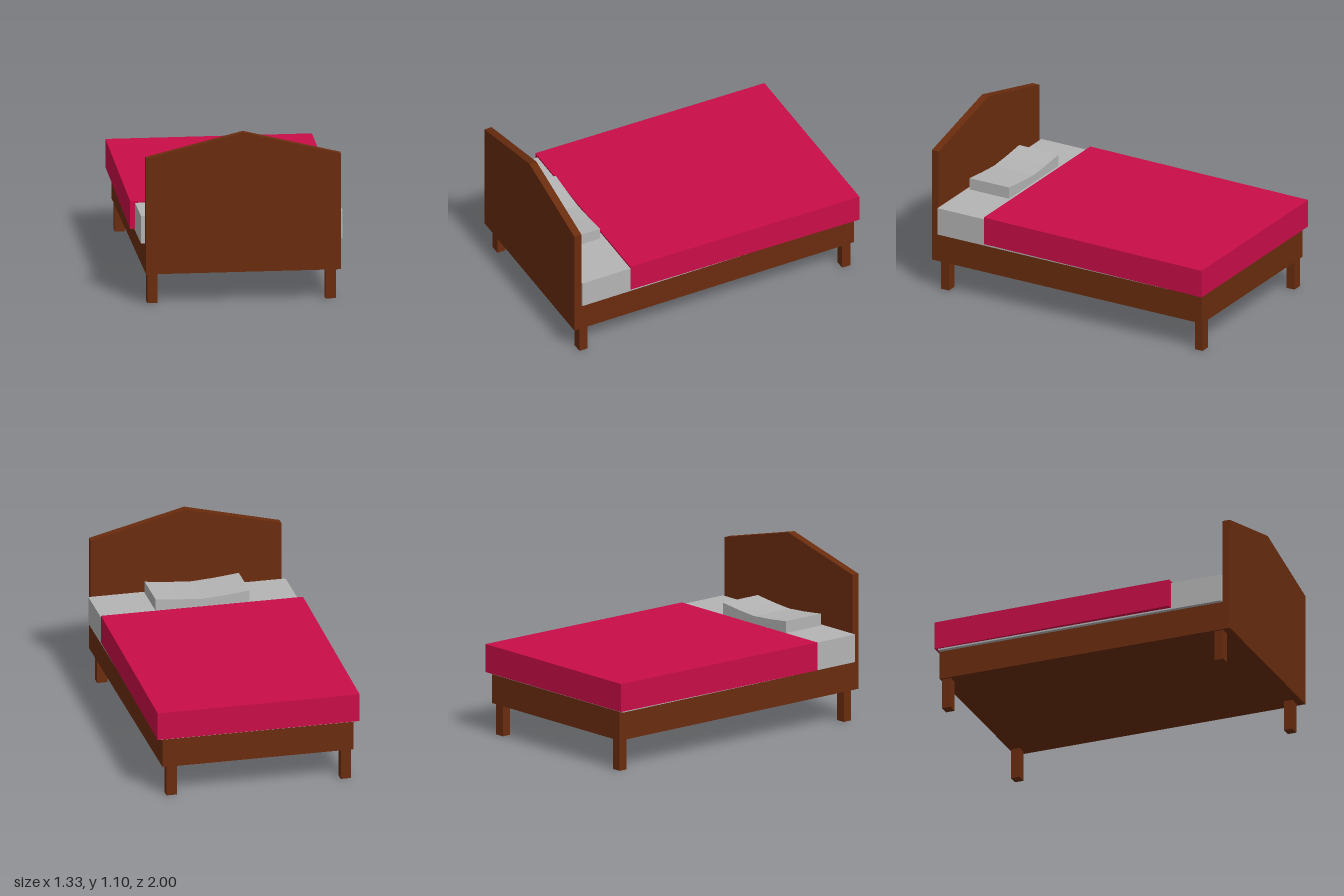
import * as THREE from 'three';

const material = (name, color) => {
  const m = new THREE.MeshStandardMaterial({ color });
  m.name = name;
  return m;
};

export function createModel() {
  const wood = material('brown wood', 0x6a2c0e);
  const linen = material('grey linen', 0xb4b4b4);
  const cloth = material('crimson cloth', 0xc90d48);
  const group = new THREE.Group();
  group.name = 'bed';

  const add = (name, geometry, mat) => {
    const mesh = new THREE.Mesh(geometry, mat);
    mesh.name = name;
    group.add(mesh);
    return mesh;
  };
  // Box given by its lower and upper corners
  const box = (name, [x0, y0, z0], [x1, y1, z1], mat) => {
    const mesh = add(name, new THREE.BoxGeometry(x1 - x0, y1 - y0, z1 - z0), mat);
    mesh.position.set((x0 + x1) / 2, (y0 + y1) / 2, (z0 + z1) / 2);
    return mesh;
  };
  // Outline in x and y, extruded along z
  const slab = (name, points, z0, z1, mat) => {
    const shape = new THREE.Shape(points.map(([x, y]) => new THREE.Vector2(x, y)));
    const geometry = new THREE.ExtrudeGeometry(shape, { depth: z1 - z0, bevelEnabled: false });
    geometry.translate(0, 0, z0);
    return add(name, geometry, mat);
  };

  // Frame with a gabled headboard
  box('bedFrame', [-0.61, 0.2, -0.98], [0.625, 0.388, 0.95], wood);
  slab('headboard', [[-0.61, 0.2], [0.625, 0.2], [0.625, 0.95], [0.008, 1.103], [-0.61, 0.95]], 0.95, 1, wood);

  // Four square legs
  for (const x of [-0.564, 0.564]) {
    for (const z of [0.92, -0.94]) {
      box('leg', [x - 0.033, 0, z - 0.029], [x + 0.033, 0.2, z + 0.029], wood);
    }
  }

  box('mattress', [-0.637, 0.388, -0.98], [0.64, 0.568, 0.95], linen);

  // Blanket lies slightly askew: its sides drift in x along the bed
  const blanket = box('blanket', [-0.657, 0.398, -1], [0.651, 0.58, 0.61], cloth);
  const p = blanket.geometry.attributes.position;
  for (let i = 0; i < p.count; i++) p.setX(i, p.getX(i) - 0.011 * Math.sign(p.getZ(i)));
  blanket.geometry.computeVertexNormals();

  // Pillow with a shallow hollow in its top
  slab('pillow', [
    [-0.33, 0.56], [0.28, 0.56], [0.28, 0.645], [0.12, 0.628],
    [-0.025, 0.618], [-0.17, 0.628], [-0.33, 0.645],
  ], 0.64, 0.93, linen);

  return group;
}
